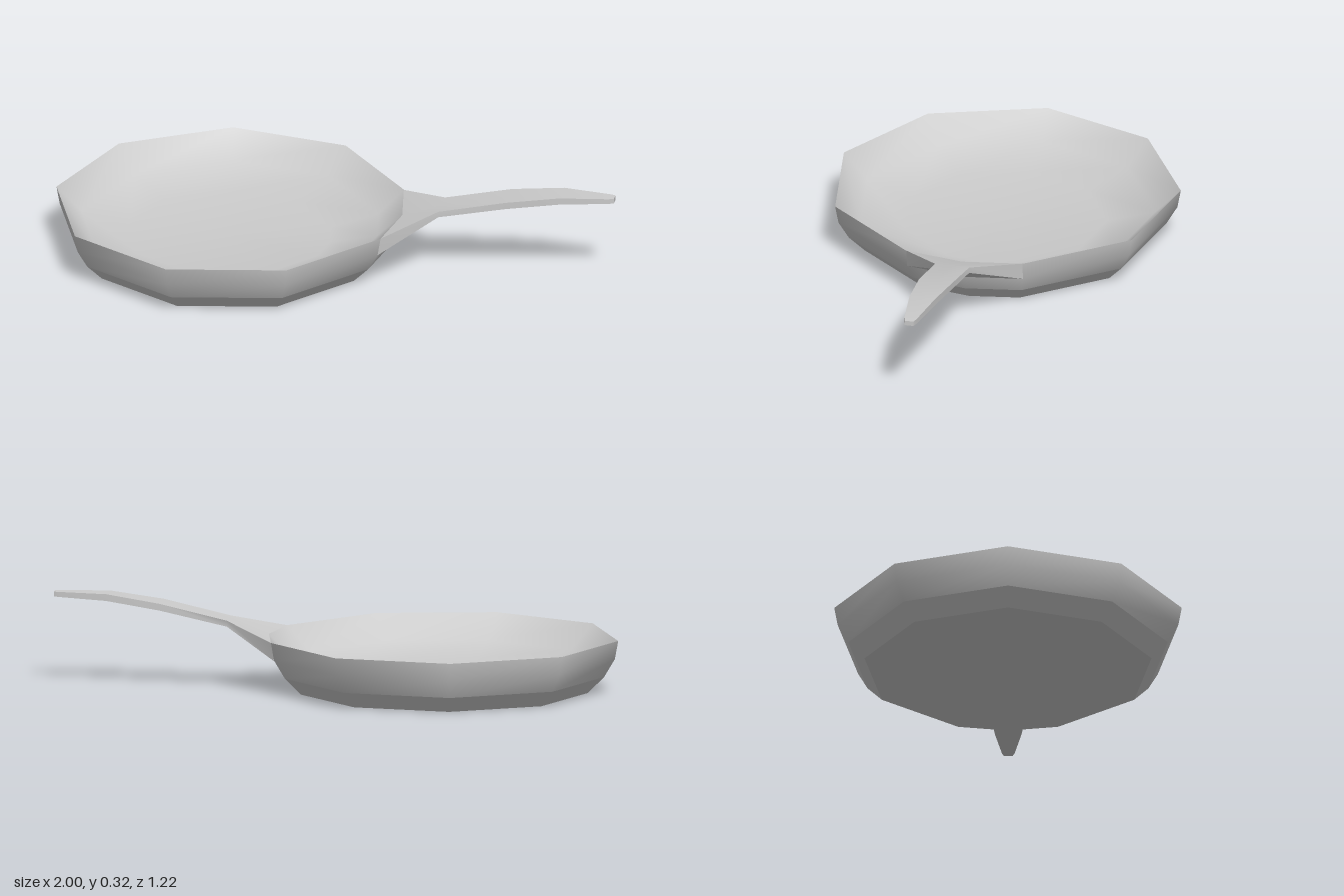
import * as THREE from 'three';

const material = new THREE.MeshStandardMaterial({ color: 0xcccccc });
const CENTRE_X = -0.38;
// Nine-sided pan with one extra corner where the handle meets it
const ANGLES = [0, 20, 60, 100, 140, 180, 220, 260, 300, 340].map(THREE.MathUtils.degToRad);

// Smooth surface through rows of points; faces look along (column x row)
function surface(name, rows, closed = false) {
  const n = rows[0].length;
  const cols = closed ? n : n - 1;
  const index = [];
  for (let r = 0; r < rows.length - 1; r++) {
    for (let c = 0; c < cols; c++) {
      const a = r * n + c, b = r * n + (c + 1) % n;
      index.push(a, b, b + n, a, b + n, a + n);
    }
  }
  const geometry = new THREE.BufferGeometry();
  geometry.setAttribute('position', new THREE.Float32BufferAttribute(rows.flat(2), 3));
  geometry.setIndex(index);
  geometry.computeVertexNormals();
  const mesh = new THREE.Mesh(geometry, material);
  mesh.name = name;
  return mesh;
}

const ring = ([r, y]) => ANGLES.map(a => [CENTRE_X + r * Math.cos(a), y, -r * Math.sin(a)]);
const band = (name, profile) => surface(name, profile.map(ring), true);

export function createModel() {
  const model = new THREE.Group();
  model.name = 'fryingPan';

  // Pan body: separate bands keep the creases sharp; the inside is a soft bowl
  const pan = new THREE.Group();
  pan.name = 'pan';
  pan.add(
    band('base', [[0, 0], [0.512, 0]]),
    band('lowerWall', [[0.512, 0], [0.57, 0.058]]),
    band('upperWall', [[0.57, 0.058], [0.608, 0.122], [0.62, 0.187]]),
    band('interior', [[0.62, 0.187], [0.53, 0.1], [0.36, 0.06], [0, 0.06]]),
  );
  model.add(pan);

  // Handle sections: x top, x bottom, y top, y bottom, half width, middle bulge in x
  const sections = [
    [0.203, 0.192, 0.187, 0.122, 0.21, 0.036],
    [0.38, 0.38, 0.24, 0.219, 0.062, 0],
    [0.62, 0.62, 0.295, 0.271, 0.06, 0],
    [0.81, 0.81, 0.323, 0.299, 0.046, 0],
    [0.98, 0.98, 0.324, 0.306, 0.022, 0],
    [1.0, 1.0, 0.324, 0.307, 0.016, 0],
  ];
  const top = sections.map(([x, , y, , w, m]) => [[x, y, -w], [x + m, y, 0], [x, y, w]]);
  const bottom = sections.map(([, x, , y, w, m]) => [[x, y, w], [x + m, y, 0], [x, y, -w]]);
  const last = sections.length - 1;

  const handle = new THREE.Group();
  handle.name = 'handle';
  handle.add(
    surface('handleTop', top),
    surface('handleUnderside', bottom),
    surface('handleFrontSide', top.map((t, i) => [t[2], bottom[i][0]])),
    surface('handleBackSide', top.map((t, i) => [bottom[i][2], t[0]])),
    surface('handleTip', [bottom[last], [...top[last]].reverse()]),
  );
  model.add(handle);

  return model;
}
